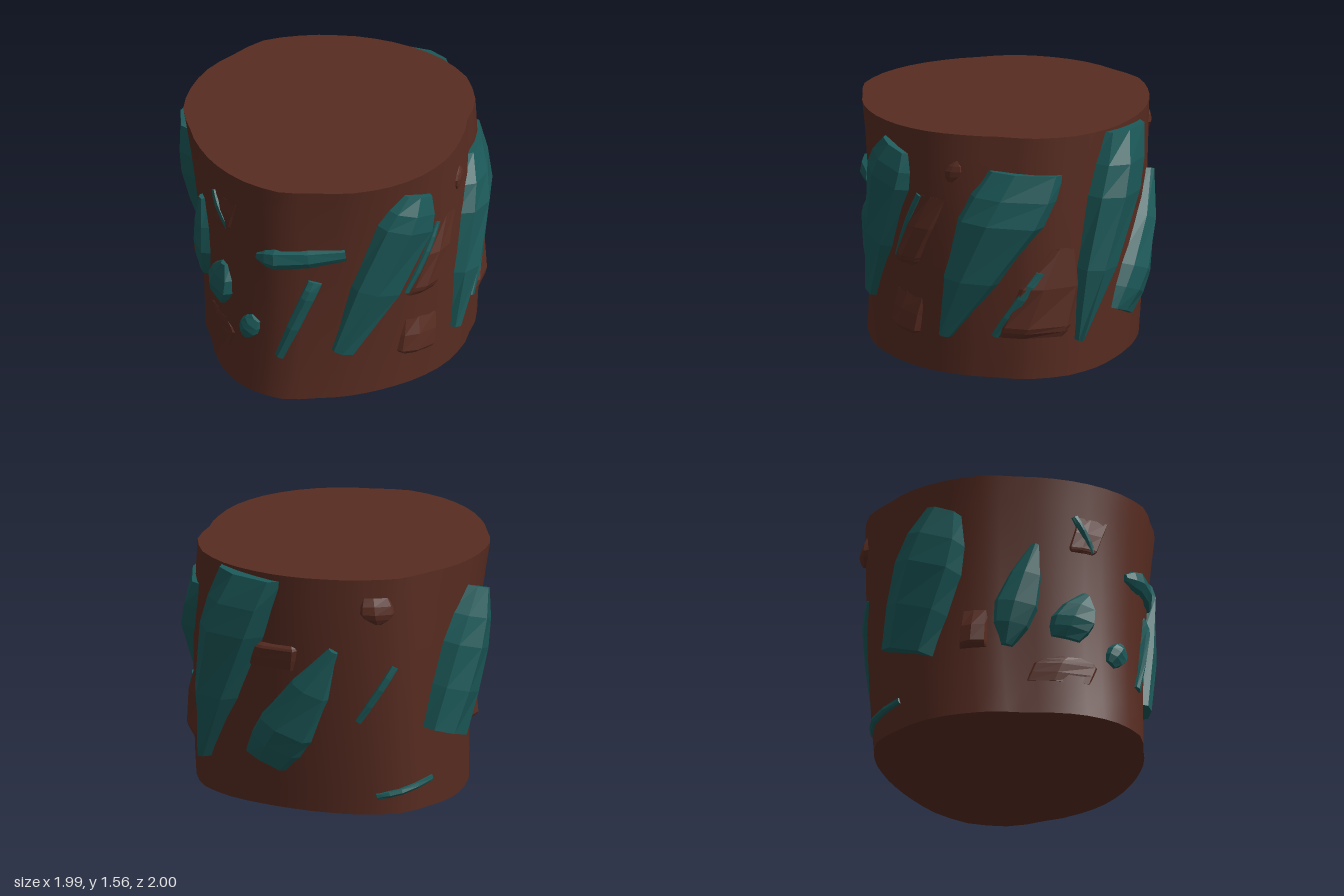
import * as THREE from 'three';
import { mergeVertices } from 'three/addons/utils/BufferGeometryUtils.js';

const HEIGHT = 1.56;
const RAD = Math.PI / 180;
const { lerp, clamp } = THREE.MathUtils;
const brown = new THREE.MeshStandardMaterial({ color: 0x582c21 });
const bark = new THREE.MeshStandardMaterial({ color: 0x582c21, flatShading: true, side: THREE.DoubleSide });
const teal = new THREE.MeshStandardMaterial({ color: 0x1c5959, flatShading: true, side: THREE.DoubleSide });

// Trunk outline: one radius every 15 degrees, from +z towards +x
const RADII = [0.92, 0.93, 0.895, 0.905, 0.91, 0.91, 0.9, 0.88, 0.875, 0.94, 0.965, 0.95,
  0.92, 0.9, 0.89, 0.9, 0.92, 0.89, 0.9, 0.9, 0.9, 0.87, 0.88, 0.9];

// Point on the trunk wall at an angle (degrees) and height, pushed out by some distance;
// towards its foot the trunk narrows, drifts and turns slightly lopsided
function wall(angle, y, out = 0, k = 1) {
  const a = (((angle % 360) + 360) % 360) / 15;
  const i = Math.floor(a) % 24;
  const t = clamp(y / HEIGHT, 0, 1);
  const s = Math.sin(angle * RAD), c = Math.cos(angle * RAD);
  const skew = 0.0124 * (s + Math.sin(3 * angle * RAD)) - 0.048 * (c - Math.cos(3 * angle * RAD));
  const r = lerp(RADII[i], RADII[(i + 1) % 24], a - Math.floor(a)) + skew * (1 - t * t);
  const sx = lerp(0.93, 1, t), sz = lerp(0.93, 1, t * t);
  return new THREE.Vector3(
    0.03 + 0.02 * (1 - t) + s * (r * sx * k + out),
    y,
    0.07 + 0.035 * (1 - t) ** 3 + c * (r * sz * k + out));
}

function makeTrunk() {
  let g = new THREE.CylinderGeometry(1, 1, HEIGHT, 48, 10);
  g.deleteAttribute('uv');
  g = mergeVertices(g);
  const p = g.attributes.position;
  for (let i = 0; i < p.count; i++) {
    const x = p.getX(i), z = p.getZ(i);
    const v = wall(Math.atan2(x, z) / RAD, p.getY(i) + HEIGHT / 2, 0, Math.hypot(x, z));
    p.setXYZ(i, v.x, v.y, v.z);
  }
  g.computeVertexNormals();
  const m = new THREE.Mesh(g, brown);
  m.name = 'trunk';
  return m;
}

// Facing directions: angle around the trunk and sideways centre
const FRONT = [0, 0.05], LEFT = [90, -0.08], BACK_LEFT = [135, 0], BACK_RIGHT = [225, 0.16], RIGHT = [270, 0.08];

// Cross-section of a chunk: position across, share of the thickness
const ACROSS = [[0, 0], [0.12, 0.6], [0.42, 1], [0.86, 0.7], [1, 0]];

// Faceted chunk hugging the wall along a spine from one (u, y) to another, u being sideways
// when facing the wall. It is widest at 'peak'; low and high are the end widths, foot and fade
// the shares of thickness at the ends, and tilt slopes the cross-sections.
function makeChunk(name, material, [facing, centre], [u0, y0], [u1, y1], width, thick,
  { low = 1, peak = 0.6, high = 1, foot = 0.45, fade = 0.4, tilt = Math.atan2(u0 - u1, y1 - y0) } = {}) {
  const pos = [], idx = [], n = ACROSS.length;
  const steps = [0, peak / 2, peak, (1 + peak) / 2, 1];
  for (const s of steps) {
    const rise = Math.sin(Math.min(s / peak, 1) * Math.PI / 2);
    const fall = 1 - Math.cos(Math.max((s - peak) / (1 - peak), 0) * Math.PI / 2);
    const w = width * lerp(low, 1, rise) * lerp(1, high, fall);
    const h = thick * lerp(foot, 1, rise) * lerp(1, fade, fall);
    for (const [t, k] of ACROSS) {
      const u = lerp(u0, u1, s) + (t - 0.5) * w * Math.cos(tilt);
      const y = lerp(y0, y1, s) + (t - 0.5) * w * Math.sin(tilt);
      const a = facing + Math.asin(clamp((u - centre) / 0.88, -1, 1)) / RAD;
      pos.push(...wall(a, y, k === 0 ? -0.03 : h * k).toArray());
    }
  }
  for (let i = 0; i < steps.length - 1; i++) {
    for (let j = 0; j < n - 1; j++) {
      const a = i * n + j;
      idx.push(a, a + 1, a + n + 1, a, a + n + 1, a + n);
    }
  }
  const end = (steps.length - 1) * n;
  for (let j = 1; j < n - 1; j++) idx.push(0, j + 1, j, end, end + j, end + j + 1);
  const g = new THREE.BufferGeometry();
  g.setAttribute('position', new THREE.Float32BufferAttribute(pos, 3));
  g.setIndex(idx);
  g.computeVertexNormals();
  const m = new THREE.Mesh(g, material);
  m.name = name;
  return m;
}

export function createModel() {
  const model = new THREE.Group();
  model.name = 'stump';
  model.add(makeTrunk());

  const crystal = (name, ...rest) => model.add(makeChunk(name, teal, ...rest));
  const sliver = (name, view, from, to) => crystal(name, view, from, to, 0.05, 0.03);
  // Bark flakes stand out at the foot and fade into the wall
  const flake = (name, view, from, to, width, thick, shape) =>
    model.add(makeChunk(name, bark, view, from, to, width, thick, { peak: 0.12, fade: 0, tilt: 0, ...shape }));

  // Long slabs
  crystal('leftFrontSlab', LEFT, [-0.745, 0.34], [-0.33, 1.42], 0.4, 0.12, { low: 0.3, peak: 0.8, high: 0.6 });
  crystal('leftRearSlab', LEFT, [0.07, 0.25], [0.48, 1.33], 0.48, 0.12, { low: 0.2, peak: 0.7, high: 0.78, tilt: -0.08 });
  crystal('backTallSlab', BACK_LEFT, [0.28, 0.23], [0.58, 1.53], 0.36, 0.17, { low: 0.12, peak: 0.7, high: 0.95, tilt: -0.1 });
  crystal('backSlab', BACK_RIGHT, [-0.42, 0.3], [-0.01, 1.09], 0.35, 0.12, { low: 0.75, peak: 0.3, high: 0.2 });
  crystal('rightSlab', RIGHT, [-0.02, 0.48], [0.3, 1.35], 0.48, 0.17, { low: 0.85, peak: 0.6, high: 0.5, foot: 0.75, fade: 0.6 });

  // Small front chunks
  crystal('frontLeafChunk', FRONT, [-0.63, 0.45], [-0.48, 1.12], 0.24, 0.08, { low: 0.25, peak: 0.4, high: 0.2 });
  crystal('frontStarChunk', FRONT, [-0.3, 0.51], [-0.18, 0.82], 0.3, 0.08, { low: 0.7, peak: 0.4, high: 0.2, tilt: -0.15 });
  crystal('frontPebble', FRONT, [0, 0.39], [0.1, 0.54], 0.16, 0.06, { low: 0.5, peak: 0.5, high: 0.5 });
  crystal('frontCrossBar', FRONT, [0.63, 1.07], [0.12, 1.02], 0.16, 0.06, { low: 0.6, peak: 0.75, high: 0.35 });
  crystal('frontUprightBar', FRONT, [0.26, 0.31], [0.47, 0.87], 0.1, 0.05, { low: 0.7, peak: 0.8 });

  // Thin slivers beside the flakes
  sliver('frontSliver', FRONT, [-0.13, 1.11], [-0.26, 1.33]);
  sliver('leftRearSliver', LEFT, [0.37, 0.27], [0.57, 0.69]);
  sliver('leftUpperSliver', LEFT, [-0.38, 0.68], [-0.15, 1.13]);
  sliver('backSliver', BACK_RIGHT, [0.14, 0.62], [0.36, 0.98]);
  sliver('lowBackSliver', BACK_RIGHT, [0.62, 0.19], [0.25, 0.12]);

  // Bark flakes
  flake('frontNotchFlake', FRONT, [-0.2, 1.1], [-0.13, 1.33], 0.22, 0.02, { low: 0.8, high: 1.2 });
  flake('frontArchFlake', FRONT, [-0.34, 0.22], [-0.27, 0.39], 0.5, 0.012, { peak: 0.7, high: 0.4 });
  flake('rightFrontFlake', FRONT, [-0.75, 0.44], [-0.74, 0.69], 0.09, 0.06);
  flake('leftUpperFlake', LEFT, [-0.28, 0.66], [-0.04, 1.13], 0.24, 0.055);
  flake('leftLowerFlake', LEFT, [-0.29, 0.22], [-0.25, 0.46], 0.33, 0.05, { low: 0.7, tilt: -0.1 });
  flake('leftRearFlake', LEFT, [0.53, 0.27], [0.65, 0.84], 0.33, 0.05, { high: 0.3 });
  flake('leftDiamondFlake', LEFT, [0.08, 1.25], [0.12, 1.39], 0.13, 0.02, { low: 0.3, peak: 0.5, high: 0.1 });
  flake('backUpperFlake', BACK_RIGHT, [0.26, 1.27], [0.25, 1.44], 0.24, 0.04, { low: 0.2, peak: 0.4, high: 0.8 });
  flake('backLedgeFlake', BACK_RIGHT, [-0.41, 0.93], [-0.39, 1.09], 0.38, 0.03, { peak: 0.8, high: 0.9 });
  return model;
}
